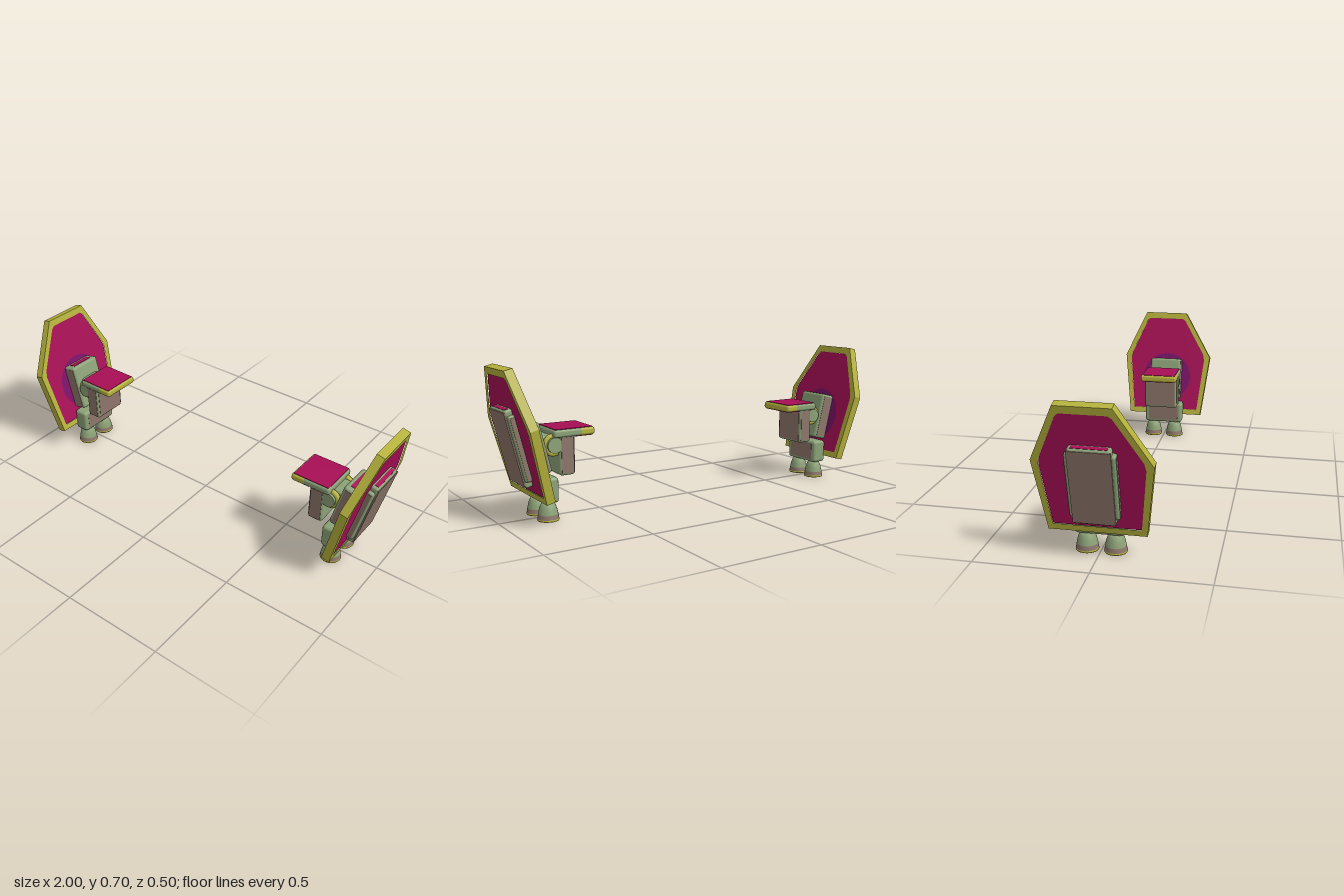
import * as THREE from 'three';
import { RoundedBoxGeometry } from 'three/addons/geometries/RoundedBoxGeometry.js';

const paint = (name, color) => {
  const m = new THREE.MeshStandardMaterial({ color });
  m.name = name;
  return m;
};

export function createModel() {
  const olive = paint('olive yellow', 0xb5b23c);
  const magenta = paint('magenta', 0xa80f56);
  const purple = paint('purple', 0x7a1268);
  const green = paint('sage green', 0x8ca277);
  const grey = paint('warm grey', 0x8d766a);

  const add = (parent, name, geometry, material) => {
    const mesh = new THREE.Mesh(geometry, material);
    mesh.name = name;
    parent.add(mesh);
    return mesh;
  };
  // Soft-edged block given by its limits on each axis
  const block = (parent, name, [x0, x1], [y0, y1], [z0, z1], material, r = 0.012) => {
    const g = new RoundedBoxGeometry(x1 - x0, y1 - y0, z1 - z0, 2, r);
    g.translate((x0 + x1) / 2, (y0 + y1) / 2, (z0 + z1) / 2);
    return add(parent, name, g, material);
  };
  // Thin painted plate
  const plate = (parent, name, [x0, x1], [y0, y1], [z0, z1], material) => {
    const g = new THREE.BoxGeometry(x1 - x0, y1 - y0, z1 - z0);
    g.translate((x0 + x1) / 2, (y0 + y1) / 2, (z0 + z1) / 2);
    return add(parent, name, g, material);
  };
  // Outline in (z, y), extruded along x
  const slab = (parent, name, points, x0, x1, material, hole) => {
    const toV = ([z, y]) => new THREE.Vector2(-z, y);
    const shape = new THREE.Shape(points.map(toV));
    if (hole) shape.holes.push(new THREE.Path(hole.map(toV)));
    const g = new THREE.ExtrudeGeometry(shape, { depth: x1 - x0, bevelEnabled: false });
    g.rotateY(Math.PI / 2).translate(x0, 0, 0);
    return add(parent, name, g, material);
  };

  function createPod() {
    const pod = new THREE.Group();

    // Tilted shield: local y runs up the panel, local x points outward
    const shield = new THREE.Group();
    shield.name = 'shield';
    shield.position.set(0.815, 0.12, 0);
    shield.rotation.z = -0.245;
    pod.add(shield);
    const outer = [[0.21, 0], [0.252, 0.343], [0.1, 0.6], [-0.137, 0.6], [-0.252, 0.343], [-0.21, 0]];
    const inner = [[0.187, 0.03], [0.19, 0.05], [0.219, 0.325], [0.212, 0.36], [0.097, 0.553], [0.08, 0.566],
      [-0.115, 0.566], [-0.129, 0.553], [-0.212, 0.36], [-0.219, 0.325], [-0.19, 0.05], [-0.187, 0.03]];
    slab(shield, 'shieldFrame', outer, 0, 0.041, olive, inner);
    slab(shield, 'shieldPanel', inner, 0.003, 0.038, magenta);

    // Purple patch on the inner face
    const patch = new THREE.CircleGeometry(0.14, 32);
    patch.rotateY(-Math.PI / 2).translate(0.001, 0.22, 0);
    add(shield, 'innerPatch', patch, purple);

    // Outer cover with wider side flanges
    block(shield, 'outerCover', [0.03, 0.074], [0.062, 0.426], [-0.09, 0.09], green);
    block(shield, 'coverFlange', [0.03, 0.068], [0.09, 0.4], [-0.105, 0.107], green);
    plate(shield, 'coverFace', [0.07, 0.076], [0.072, 0.418], [-0.09, 0.09], grey);
    for (const y of [0.062, 0.425])
      plate(shield, 'coverEnd', [0.045, 0.064], [y - 0.001, y + 0.002], [-0.075, 0.075], magenta);
    for (const z of [-0.105, 0.107])
      plate(shield, 'coverSide', [0.042, 0.06], [0.1, 0.39], [z - 0.001, z + 0.001], grey);

    // Inner mounting block
    block(shield, 'innerBlock', [-0.07, 0.01], [0.088, 0.328], [-0.088, 0.088], green, 0.014);
    for (const z of [-0.088, 0.088])
      plate(shield, 'innerBlockSide', [-0.058, 0], [0.1, 0.316], [z - 0.001, z + 0.001], grey);
    plate(shield, 'innerBlockTop', [-0.05, -0.015], [0.327, 0.33], [-0.06, 0.06], magenta);

    // Round joint
    const joint = new THREE.Group();
    joint.name = 'joint';
    joint.position.set(0.755, 0.342, 0);
    pod.add(joint);
    add(joint, 'jointCore', new THREE.CylinderGeometry(0.036, 0.036, 0.18, 24).rotateX(Math.PI / 2), green);
    for (const z of [-0.065, 0.065]) {
      const ring = add(joint, 'jointRing', new THREE.TorusGeometry(0.04, 0.013, 10, 28), olive);
      ring.position.z = z;
    }
    block(pod, 'jointBracket', [0.745, 0.81], [0.29, 0.385], [-0.055, 0.055], green);

    // Arm block below the shelf
    block(pod, 'armBlock', [0.66, 0.736], [0.2, 0.385], [-0.092, 0.092], green, 0.015);
    for (const z of [-0.092, 0.092])
      plate(pod, 'armSide', [0.668, 0.728], [0.212, 0.375], [z - 0.001, z + 0.001], grey);
    plate(pod, 'armFace', [0.659, 0.662], [0.212, 0.375], [-0.08, 0.08], grey);

    // Shelf with olive tip and magenta skins
    block(pod, 'shelf', [0.61, 0.764], [0.376, 0.412], [-0.1, 0.1], green);
    block(pod, 'shelfTip', [0.564, 0.64], [0.376, 0.412], [-0.101, 0.101], olive);
    plate(pod, 'shelfTop', [0.574, 0.756], [0.411, 0.414], [-0.092, 0.092], magenta);
    plate(pod, 'shelfUnderside', [0.574, 0.658], [0.374, 0.377], [-0.092, 0.092], magenta);

    // Lower block
    block(pod, 'lowerBlock', [0.75, 0.828], [0.085, 0.202], [-0.108, 0.108], green, 0.015);
    plate(pod, 'lowerBlockFace', [0.749, 0.752], [0.1, 0.187], [-0.085, 0.085], grey);
    plate(pod, 'lowerBlockBottom', [0.768, 0.812], [0.084, 0.087], [-0.08, 0.08], magenta);

    // Bell-shaped feet with coloured bands
    const bands = [
      ['footBell', green, [[0.0455, 0.03], [0.041, 0.052], [0.035, 0.07], [0.027, 0.084], [0, 0.086]]],
      ['footBand', grey, [[0.049, 0.01], [0.0455, 0.03]]],
      ['footRim', olive, [[0.042, 0], [0.049, 0.001], [0.0505, 0.005], [0.049, 0.01]]],
      ['footUnderside', purple, [[0, 0.012], [0.034, 0.008], [0.042, 0]]],
    ];
    for (const z of [-0.062, 0.062]) {
      const foot = new THREE.Group();
      foot.name = 'foot';
      foot.position.set(0.788, 0, z);
      for (const [name, material, profile] of bands)
        add(foot, name, new THREE.LatheGeometry(profile.map(p => new THREE.Vector2(...p)), 28), material);
      pod.add(foot);
    }
    return pod;
  }

  const model = new THREE.Group();
  const left = createPod();
  left.name = 'leftPod';
  const right = createPod();
  right.name = 'rightPod';
  right.scale.x = -1;
  model.add(left, right);
  return model;
}
